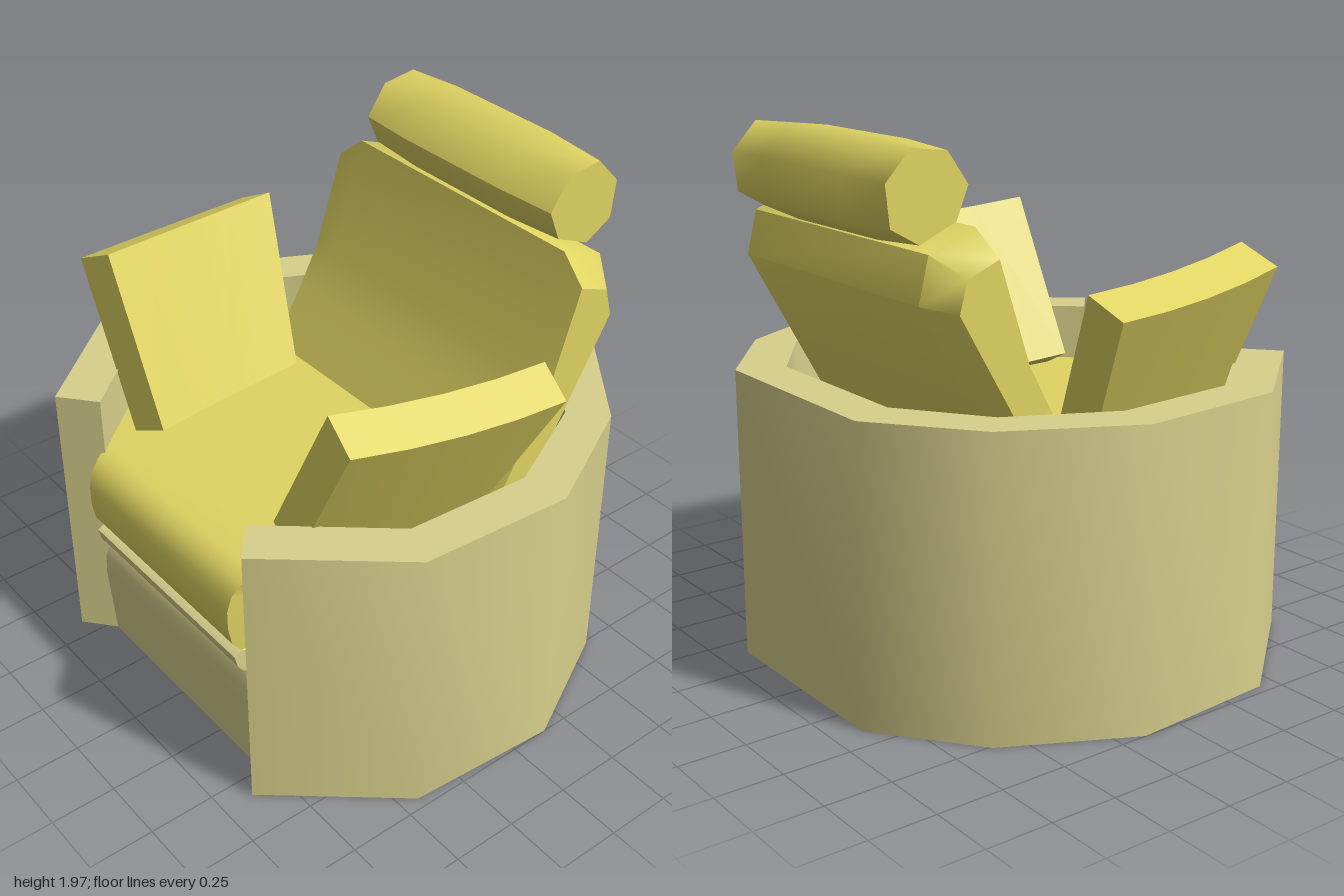
import * as THREE from 'three';
import { toCreasedNormals } from 'three/addons/utils/BufferGeometryUtils.js';

const fabric = new THREE.MeshStandardMaterial({ color: 0xe0d462 });
fabric.name = 'yellow fabric';
const shellMat = new THREE.MeshStandardMaterial({ color: 0xd8d08c });
shellMat.name = 'beige shell';

// Skin a closed solid over rings of [x, y, z] points, with a fan cap at each end
function loft(rings, crease = 0.7) {
  const n = rings[0].length;
  const tris = [];
  for (let r = 0; r < rings.length - 1; r++) {
    for (let i = 0; i < n; i++) {
      const j = (i + 1) % n;
      const [a, b, c, d] = [rings[r][i], rings[r][j], rings[r + 1][j], rings[r + 1][i]];
      tris.push([a, b, c], [a, c, d]);
    }
  }
  for (const [ring, first] of [[rings[0], true], [rings[rings.length - 1], false]]) {
    const mid = [0, 1, 2].map(k => ring.reduce((s, p) => s + p[k], 0) / n);
    for (let i = 0; i < n; i++) {
      const j = (i + 1) % n;
      tris.push(first ? [mid, ring[j], ring[i]] : [mid, ring[i], ring[j]]);
    }
  }
  // turn the faces outward if the solid came out inside-out
  let volume = 0;
  for (const [a, b, c] of tris) {
    volume += a[0] * (b[1] * c[2] - b[2] * c[1]) + a[1] * (b[2] * c[0] - b[0] * c[2])
      + a[2] * (b[0] * c[1] - b[1] * c[0]);
  }
  if (volume < 0) tris.forEach(t => t.reverse());
  const geo = new THREE.BufferGeometry();
  geo.setAttribute('position', new THREE.Float32BufferAttribute(tris.flat(2), 3));
  return toCreasedNormals(geo, crease);
}

// Half-width of the space inside the shell at depth z
function innerWidth(z) {
  const t = [[-0.74, 0.36], [-0.5, 0.66], [-0.12, 0.85], [0.36, 0.82], [0.6, 0.62],
    [0.77, 0.46], [0.85, 0.44], [1, 0.44]];
  for (let i = 0; i < t.length - 1; i++) {
    const [z0, w0] = t[i], [z1, w1] = t[i + 1];
    if (z <= z1) return w0 + (w1 - w0) * (z - z0) / (z1 - z0);
  }
  return 0.44;
}

// Solid from a [z, y] profile, spread sideways to a half-width that depends on z
const spread = (profile, width, crease) => loft([-1, 1].map(
  s => profile.map(([z, y]) => [s * width(z), y, z])), crease);

export function createModel() {
  const group = new THREE.Group();
  const add = (name, geo, mat) => {
    const mesh = new THREE.Mesh(geo, mat);
    mesh.name = name;
    group.add(mesh);
  };

  // Tub shell: faceted horseshoe wall, open at the front
  const half = [[0.45, 0.77], [0.58, 0.88], [0.96, 0.43], [1, -0.15], [0.76, -0.61], [0.4, -0.89]];
  const halfIn = [[0.33, -0.72], [0.64, -0.5], [0.83, -0.12], [0.8, 0.36]];
  const mirror = pts => pts.map(([x, z]) => [-x, z]).reverse();
  const outline = [...half, ...mirror(half), ...mirror(halfIn), ...halfIn];
  const shape = new THREE.Shape(outline.map(([x, z]) => new THREE.Vector2(x, -z)));
  const shell = new THREE.ExtrudeGeometry(shape, { depth: 1.09, bevelEnabled: false });
  shell.rotateX(-Math.PI / 2);
  add('shell', toCreasedNormals(shell, 0.72), shellMat);

  // Base with bulging front panel
  const depths = [0.6, 0.36, -0.12, -0.5];
  add('base', spread([
    [0.783, 0], [0.797, 0.28], [0.795, 0.36], [0.785, 0.41], [0.765, 0.44],
    ...depths.map(z => [z, 0.46]), [-0.74, 0.46],
    [-0.74, 0], ...depths.map(z => [z, 0]).reverse(),
  ], z => Math.max(innerWidth(z), 0.55)), shellMat);

  // Trim rail under the seat
  add('frontRail', spread([
    [0.6, 0.44], [0.775, 0.44], [0.8, 0.455], [0.825, 0.49], [0.835, 0.535], [0.81, 0.55], [0.6, 0.55],
  ], () => 0.445), shellMat);

  // Seat cushion with rounded front
  add('seatCushion', spread([
    [0.72, 0.55], [0.81, 0.56], [0.84, 0.6], [0.853, 0.67], [0.853, 0.75], [0.835, 0.81],
    [0.8, 0.85], [0.75, 0.87], ...depths.map(z => [z, 0.87]), [-0.74, 0.87],
    [-0.74, 0.55], ...depths.map(z => [z, 0.55]).reverse(),
  ], innerWidth), fabric);

  // Backrest: full section in the middle, chamfered towards the sides and rear
  const full = [[-0.13, 0.8], [-0.3, 1.09], [-0.385, 1.25], [-0.52, 1.7],
    [-0.7, 1.63], [-0.74, 1.47], [-0.53, 1.09], [-0.37, 0.8]];
  const side = [[-0.13, 0.8], [-0.3, 1.09], [-0.385, 1.25], [-0.505, 1.61],
    [-0.63, 1.56], [-0.66, 1.45], [-0.45, 1.09], [-0.29, 0.8]];
  const section = (x, p) => p.map(([z, y]) => [x, y, z]);
  add('backrest', loft([section(-0.66, side), section(-0.55, full),
    section(0.55, full), section(0.66, side)], 0.75), fabric);

  // Headrest roll: seven-sided, slightly fuller in the middle
  const roll = [[-0.574, 1.953], [-0.726, 1.972], [-0.833, 1.859], [-0.815, 1.702],
    [-0.695, 1.634], [-0.538, 1.702], [-0.486, 1.828]];
  add('headrest', loft([[-0.49, 0.91], [-0.25, 1], [0.25, 1], [0.49, 0.91]].map(([x, s]) =>
    roll.map(([z, y]) => [x, 1.81 + (y - 1.81) * s, -0.663 + (z + 0.663) * s])), 1), fabric);

  // Armrest cushions: tilted slabs, gently curved from front to back
  const front = [[0.64, 1.545, 0.575], [0.79, 1.475, 0.605], [0.49, 0.87, 0.61], [0.34, 0.94, 0.58]];
  const rear = [[0.77, 1.48, -0.235], [0.91, 1.41, -0.205], [0.61, 0.81, -0.1], [0.47, 0.88, -0.13]];
  for (const s of [1, -1]) {
    const rings = [0, 0.25, 0.5, 0.75, 1].map(t => front.map((p, i) => {
      const bow = 4 * t * (1 - t);
      const q = p.map((v, k) => v + (rear[i][k] - v) * t);
      return [s * (q[0] + 0.02 * bow), q[1] - 0.012 * bow, q[2]];
    }));
    add(s > 0 ? 'leftArmCushion' : 'rightArmCushion', loft(rings), fabric);
  }
  return group;
}
